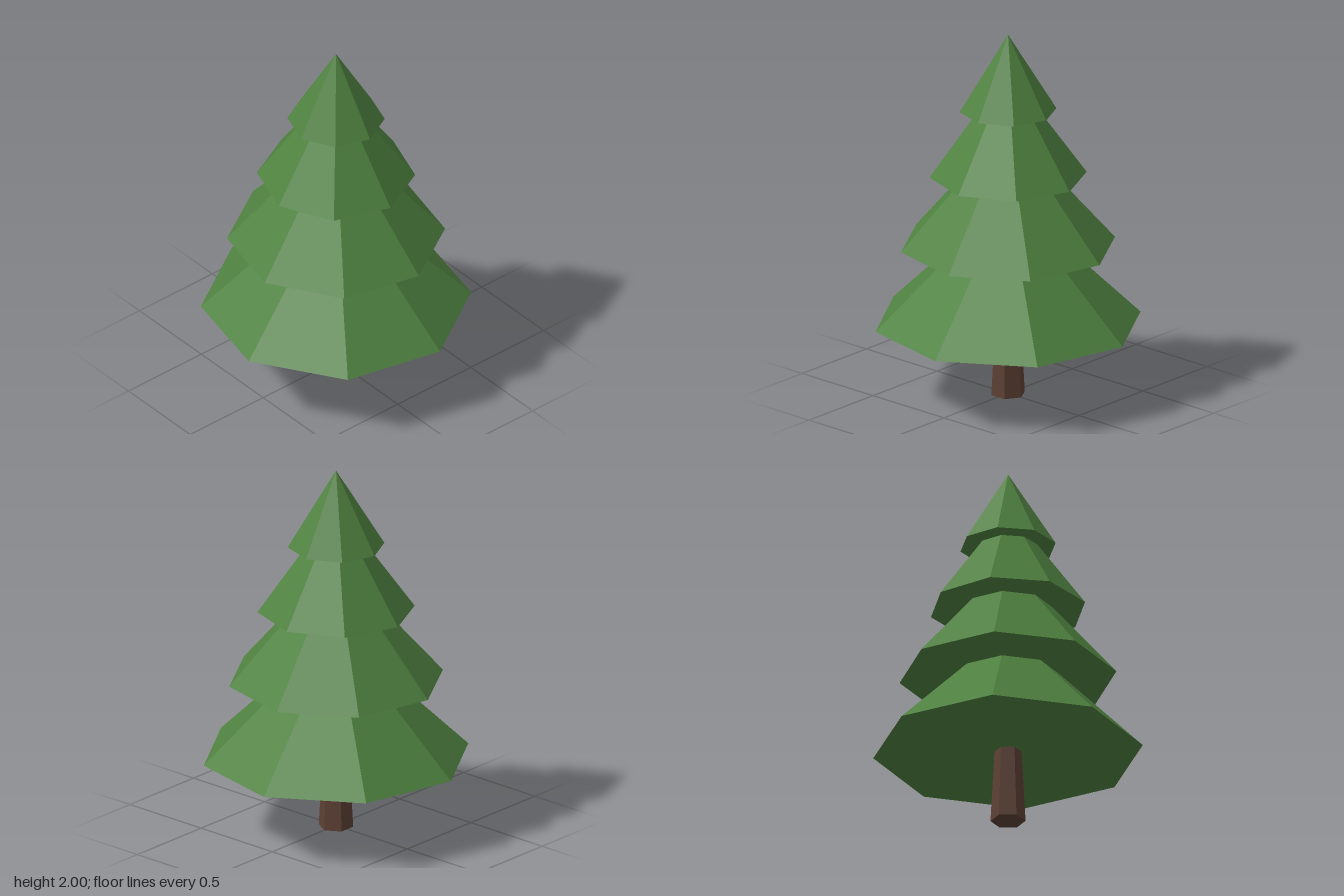
import * as THREE from 'three';

export function createModel() {
  const group = new THREE.Group();
  const green = new THREE.MeshStandardMaterial({ color: 0x4f8240, flatShading: true });
  green.name = 'needle green';
  const brown = new THREE.MeshStandardMaterial({ color: 0x5c4034, flatShading: true });
  brown.name = 'bark brown';

  // Tapered hexagonal trunk, ending inside the lowest tier
  const trunk = new THREE.Mesh(new THREE.CylinderGeometry(0.068, 0.092, 0.45, 6), brown);
  trunk.name = 'trunk';
  trunk.position.y = 0.225;
  trunk.rotation.y = Math.PI / 6;
  group.add(trunk);

  // Overlapping eight-sided cones: base height, tip height, radius, twist in degrees
  const tiers = [
    [0.4, 1.1, 0.71, 9.7],
    [0.83, 1.49, 0.572, 9],
    [1.22, 1.8, 0.414, 3.2],
    [1.58, 2.0, 0.255, 4],
  ];
  tiers.forEach(([base, tip, radius, twist], i) => {
    const tier = new THREE.Mesh(new THREE.ConeGeometry(radius, tip - base, 8), green);
    tier.name = `foliageTier${i + 1}`;
    tier.position.y = (base + tip) / 2;
    tier.rotation.y = THREE.MathUtils.degToRad(twist);
    group.add(tier);
  });

  return group;
}
